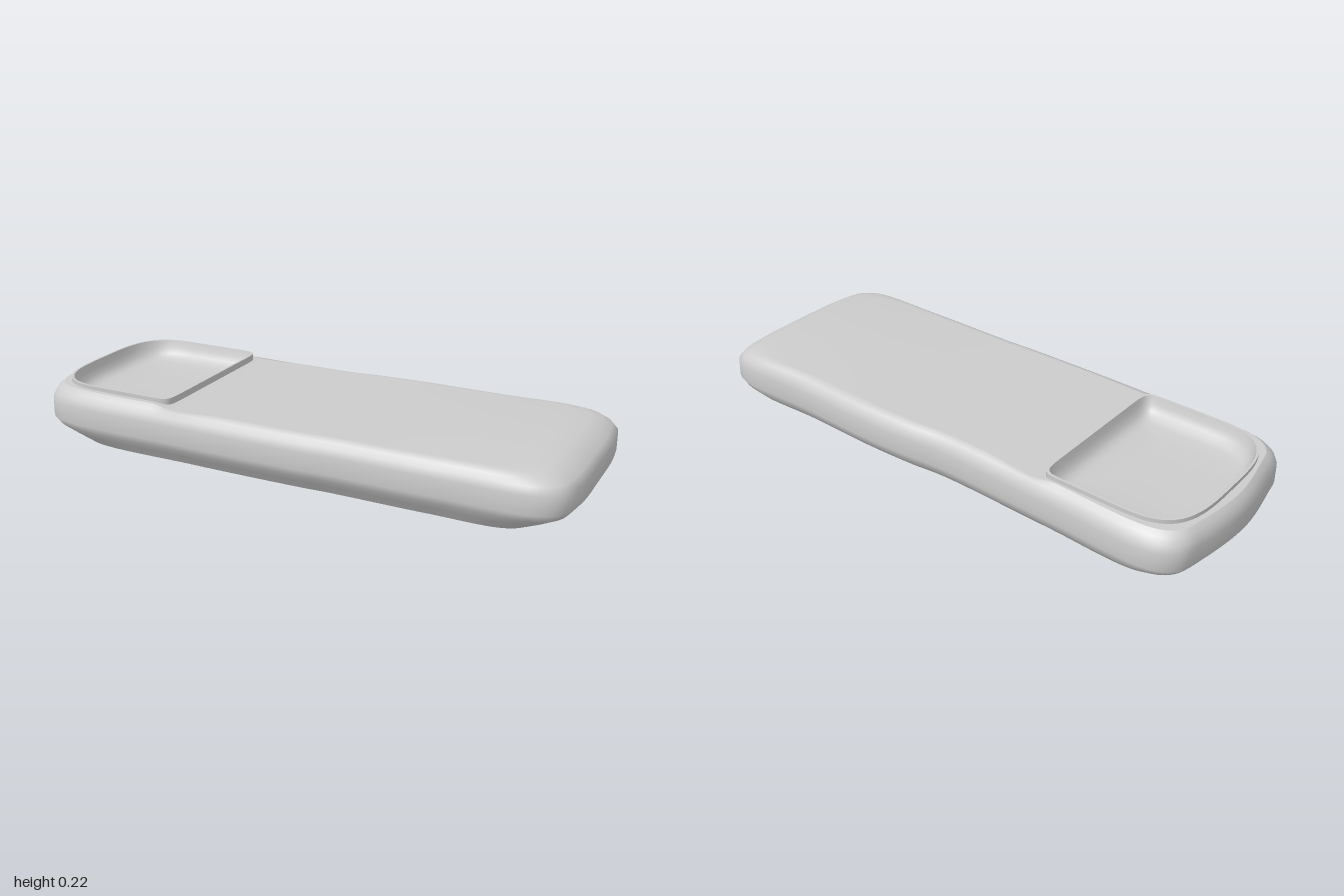
import * as THREE from 'three';

const N = 240;
const material = new THREE.MeshStandardMaterial({ color: 0xcccccc, side: THREE.DoubleSide });
const smooth = THREE.MathUtils.smoothstep;

// Skin a stack of closed rings of [x, y, z] points
function loft(name, rings) {
  const index = [];
  for (let i = 0; i < rings.length - 1; i++) {
    for (let j = 0; j < N; j++) {
      const k = (j + 1) % N;
      const a = i * N + j, b = i * N + k, c = a + N, d = b + N;
      index.push(a, c, b, b, c, d);
    }
  }
  const geometry = new THREE.BufferGeometry();
  geometry.setAttribute('position', new THREE.Float32BufferAttribute(rings.flat(2), 3));
  geometry.setIndex(index);
  geometry.computeVertexNormals();
  const mesh = new THREE.Mesh(geometry, material);
  mesh.name = name;
  return mesh;
}

// Slightly uneven rounded plan outline, as [x, z]
const plan = [
  [0.995, 0], [0.99, 0.2], [0.965, 0.3], [0.9, 0.345], [0.6, 0.358], [0.2, 0.36], [0.1, 0.365],
  [-0.4, 0.368], [-0.88, 0.352], [-0.95, 0.3], [-0.975, 0.2], [-1, 0], [-0.975, -0.22],
  [-0.95, -0.31], [-0.88, -0.357], [-0.5, -0.357], [-0.05, -0.352], [0.1, -0.367], [0.3, -0.376],
  [0.6, -0.373], [0.9, -0.376], [0.965, -0.335], [0.99, -0.22],
];
const curve = new THREE.CatmullRomCurve3(plan.map(([x, z]) => new THREE.Vector3(x, 0, z)), true);
const outline = curve.getSpacedPoints(N).slice(0, N);

// Height of the gently crowned top, dipping just beside the basin
function topHeight(x, z) {
  const crown = 0.012 * smooth(x, 0, 0.9) * (1 - (z / 0.36) ** 2);
  const dip = 0.012 * smooth(x, -0.5, -0.42) * Math.exp(-(((x + 0.4) / 0.13) ** 2));
  return 0.201 + crown - dip + 0.006 * (1 - smooth(x, -0.45, -0.1));
}

// Basin plan: rounded towards the end, square towards the middle
const basinX = -0.69;
function basinPoint(p, scale, y) {
  const angle = Math.atan2(p.z, p.x - basinX);
  const c = Math.cos(angle), s = Math.sin(angle);
  const n = c < 0 ? 3.5 : 16;
  const r = scale * (Math.abs(c / 0.253) ** n + Math.abs(s / 0.308) ** n) ** (-1 / n);
  return [basinX + r * c, y, r * s];
}
const basinRing = (scale, y) => outline.map((p) => basinPoint(p, scale, y));

export function createModel() {
  const group = new THREE.Group();
  group.name = 'shell';

  // Rounded side wall: [end inset, side inset, height]; null height follows the top
  const levels = [
    [0.13, 0.055, 0], [0.065, 0.03, 0.035], [0.02, 0.01, 0.062], [0, 0, 0.088], [0, 0.002, 0.15],
    [0.02, 0.012, 0.175], [0.05, 0.025, 0.193], [0.09, 0.042, null],
  ];
  const rings = levels.map(([ix, iz, y], i) => outline.map((p) => {
    const endInset = p.x < 0 && i > 3 ? ix * 0.33 : ix;
    const x = p.x * (1 - endInset), z = p.z * (1 - iz / 0.365);
    const tilt = i === 0 ? 0.008 - 0.025 * z : 0;
    return [x, y === null ? topHeight(x, z) : y + tilt, z];
  }));

  // Top sheet running inward to the edge of the basin
  const edge = rings[rings.length - 1];
  const steps = 20;
  for (let i = 1; i <= steps; i++) {
    const t = i / steps;
    rings.push(outline.map((p, j) => {
      const b = basinPoint(p, 1, 0);
      const x = edge[j][0] + (b[0] - edge[j][0]) * t;
      const z = edge[j][2] + (b[2] - edge[j][2]) * t;
      return [x, topHeight(x, z), z];
    }));
  }
  group.add(loft('bodyShell', rings));

  // Thin raised lip around the basin
  const foot = rings[rings.length - 1];
  group.add(loft('basinLipSide', [foot, basinRing(1, 0.221)]));
  group.add(loft('basinLip', [basinRing(1, 0.221), basinRing(0.972, 0.221)]));

  // Shallow basin with soft corners at the floor
  const bowl = [[0.972, 0.221], [0.95, 0.195], [0.915, 0.172], [0.86, 0.157], [0.78, 0.149], [0.6, 0.144], [0.3, 0.142], [0.001, 0.142]];
  group.add(loft('basin', bowl.map(([s, y]) => basinRing(s, y))));

  return group;
}
